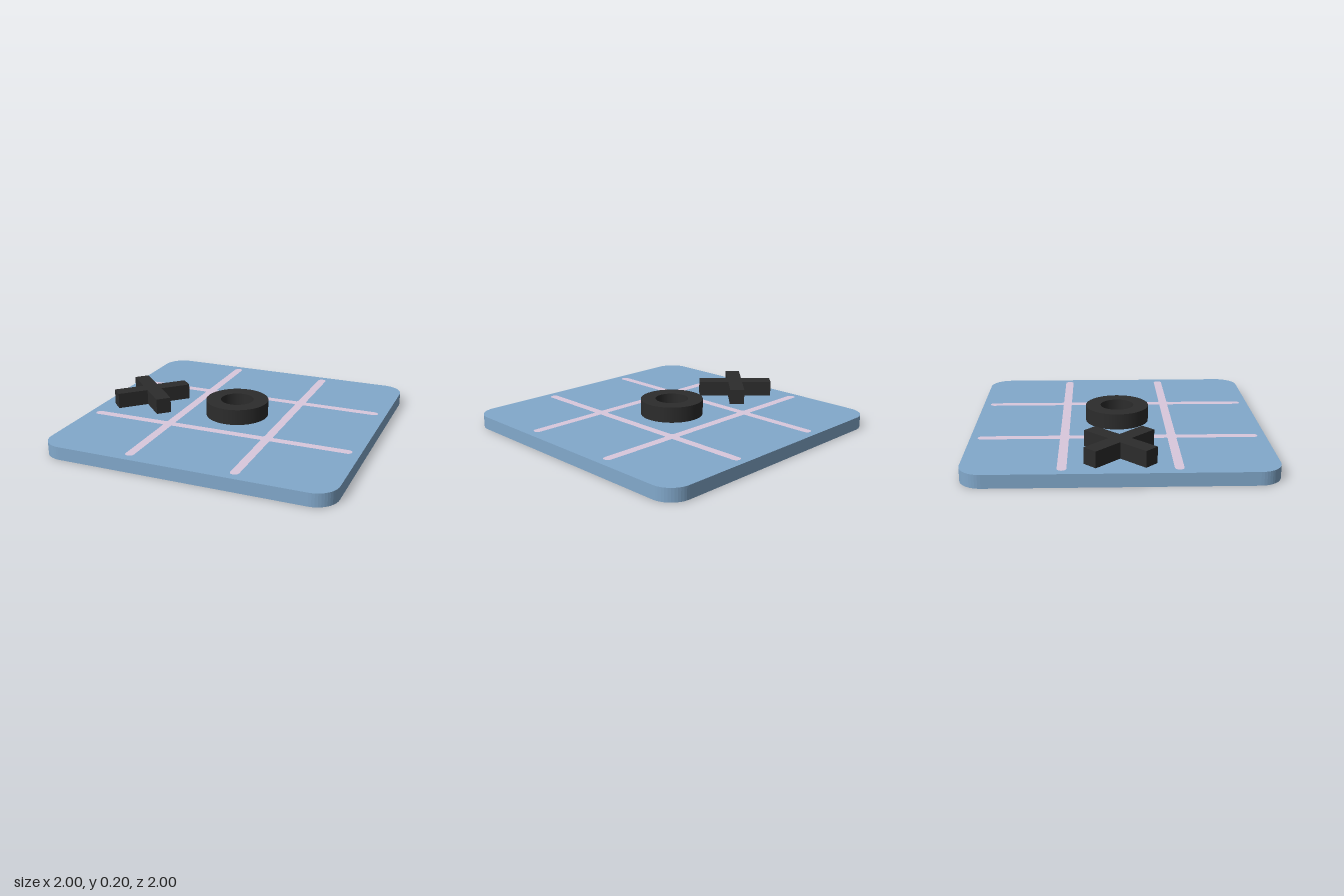
import * as THREE from 'three';

const BOARD_TOP = 0.09, PIECE_HEIGHT = 0.11;

const blue = new THREE.MeshStandardMaterial({ color: 0x82a9cc });
const pink = new THREE.MeshStandardMaterial({ color: 0xdac8dd });
const black = new THREE.MeshStandardMaterial({ color: 0x2c2c2c });

// Rounded rectangle centred on the origin
function roundedRect(w, d, r) {
  const x = w / 2, y = d / 2, s = new THREE.Shape();
  s.absarc(x - r, y - r, r, 0, Math.PI / 2);
  s.absarc(-x + r, y - r, r, Math.PI / 2, Math.PI);
  s.absarc(-x + r, -y + r, r, Math.PI, Math.PI * 1.5);
  s.absarc(x - r, -y + r, r, Math.PI * 1.5, Math.PI * 2);
  s.closePath();
  return s;
}

// Upright slab: the shape lies flat and is extruded upwards
function slab(shape, height, curveSegments) {
  return new THREE.ExtrudeGeometry(shape, { depth: height, bevelEnabled: false, curveSegments })
    .rotateX(-Math.PI / 2);
}

function addMesh(parent, name, geometry, material, x, y, z) {
  const mesh = new THREE.Mesh(geometry, material);
  mesh.name = name;
  mesh.position.set(x, y, z);
  parent.add(mesh);
  return mesh;
}

export function createModel() {
  const model = new THREE.Group();
  model.name = 'noughtsAndCrossesBoard';

  // Board with rounded corners
  addMesh(model, 'board', slab(roundedRect(2, 2, 0.15), BOARD_TOP, 6), blue, 0, 0, 0);

  // Painted lines with round ends, and small widenings where they cross
  const grid = new THREE.Group();
  grid.name = 'gridLines';
  grid.position.set(-0.004, BOARD_TOP, -0.002);
  model.add(grid);
  const line = new THREE.ShapeGeometry(roundedRect(0.06, 1.893, 0.0299), 6).rotateX(-Math.PI / 2);
  const crossing = new THREE.CircleGeometry(0.052, 8, Math.PI / 8).rotateX(-Math.PI / 2);
  for (const a of [-0.362, 0.362]) {
    addMesh(grid, 'lengthwiseLine', line, pink, a, 0.001, 0);
    addMesh(grid, 'crosswiseLine', line, pink, 0, 0.0015, a).rotation.y = Math.PI / 2;
    for (const b of [-0.362, 0.362]) addMesh(grid, 'lineCrossing', crossing, pink, a, 0.002, b);
  }

  // Cross: one plus-shaped outline, turned by 45 degrees
  const w = 0.053, l = 0.272, plus = [];
  for (let i = 0; i < 4; i++) {
    for (const [x, y] of [[l, -w], [l, w], [w, w]]) {
      plus.push(new THREE.Vector2(x, y).rotateAround(new THREE.Vector2(), i * Math.PI / 2));
    }
  }
  addMesh(model, 'crossPiece', slab(new THREE.Shape(plus), PIECE_HEIGHT), black, -0.685, BOARD_TOP, 0)
    .rotation.y = Math.PI / 4;

  // Nought: ring with smooth walls and sharp rims
  const outer = 0.222, inner = 0.117;
  const ring = new THREE.Group();
  ring.name = 'noughtPiece';
  ring.position.y = BOARD_TOP;
  model.add(ring);
  addMesh(ring, 'outerWall',
    new THREE.CylinderGeometry(outer, outer, PIECE_HEIGHT, 48, 1, true), black, 0, PIECE_HEIGHT / 2, 0);
  // Mirrored profile direction turns the wall to face the hole
  addMesh(ring, 'innerWall', new THREE.LatheGeometry(
    [new THREE.Vector2(inner, PIECE_HEIGHT), new THREE.Vector2(inner, 0)], 48), black, 0, 0, 0);
  const face = new THREE.RingGeometry(inner, outer, 48);
  addMesh(ring, 'topFace', face, black, 0, PIECE_HEIGHT, 0).rotation.x = -Math.PI / 2;
  addMesh(ring, 'bottomFace', face, black, 0, 0, 0).rotation.x = Math.PI / 2;

  return model;
}
